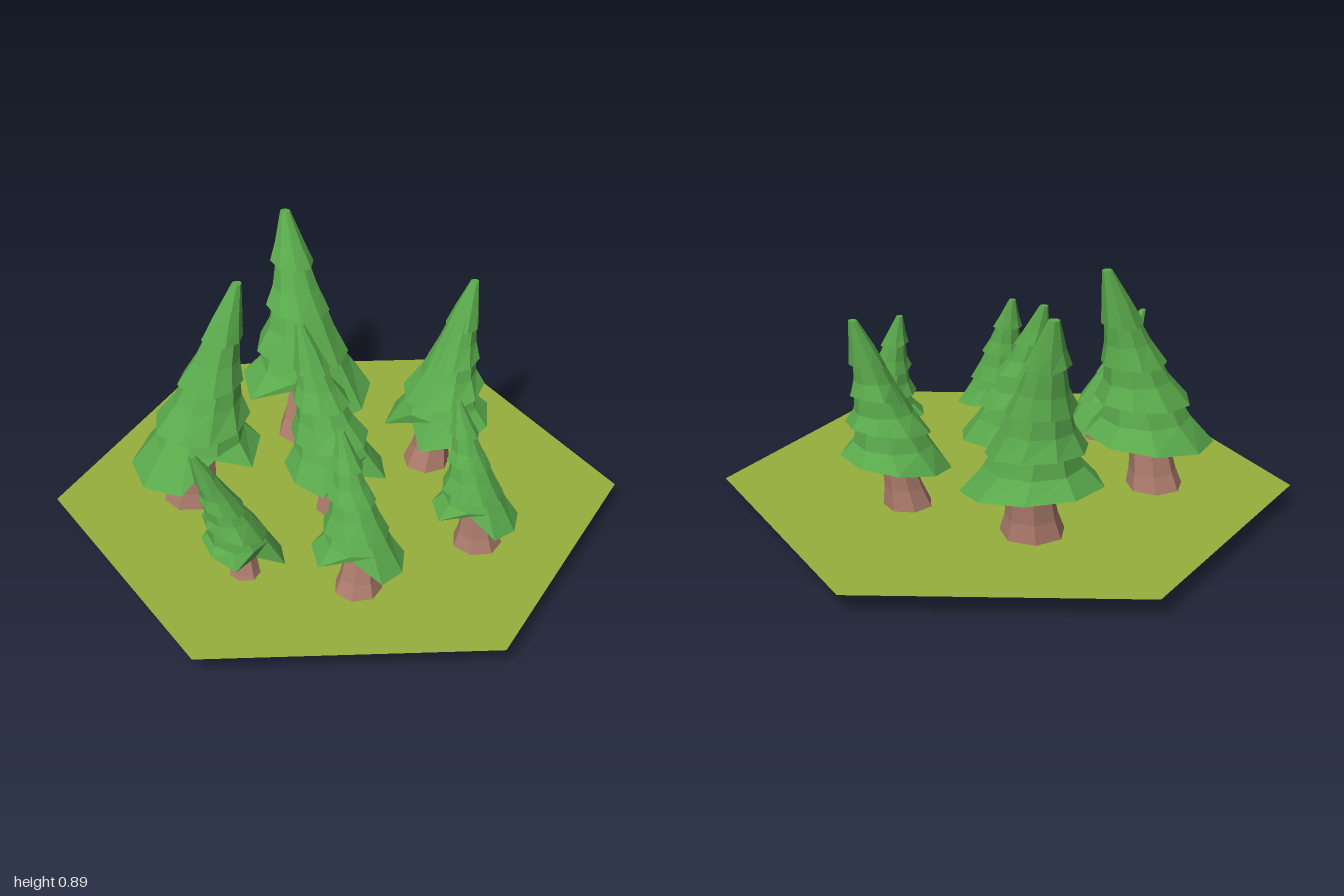
import * as THREE from 'three';

const leafGreen = new THREE.MeshStandardMaterial({ color: 0x5aaa4c, side: THREE.DoubleSide });
leafGreen.name = 'leafGreen';
const barkBrown = new THREE.MeshStandardMaterial({ color: 0xab7b6b, side: THREE.DoubleSide });
barkBrown.name = 'barkBrown';
const grassGreen = new THREE.MeshStandardMaterial({ color: 0x96b03c, side: THREE.DoubleSide });
grassGreen.name = 'grassGreen';

// Faceted skin over rings of points, listed from the bottom inside to the top
function loft(rings) {
  const out = [];
  const n = rings[0].length;
  for (let k = 0; k < rings.length - 1; k++) {
    for (let i = 0; i < n; i++) {
      const j = (i + 1) % n;
      const a = rings[k][i], b = rings[k][j], c = rings[k + 1][i], d = rings[k + 1][j];
      out.push(...a, ...c, ...b, ...b, ...c, ...d);
    }
  }
  const geo = new THREE.BufferGeometry();
  geo.setAttribute('position', new THREE.Float32BufferAttribute(out, 3));
  geo.computeVertexNormals();
  return geo;
}

function mesh(name, geo, material) {
  const m = new THREE.Mesh(geo, material);
  m.name = name;
  return m;
}

// Height and radius of each foliage tier, as shares of tree height and skirt radius
const TIERS = [
  { y0: 0.28, r0: 1.0, y1: 0.53, r1: 0.48 },
  { y0: 0.45, r0: 0.74, y1: 0.68, r1: 0.36 },
  { y0: 0.62, r0: 0.52, y1: 0.83, r1: 0.24 },
  { y0: 0.79, r0: 0.34, y1: 1.0, r1: 0.08 },
];

// Trunk profile: share of height, share of base radius
const TRUNK = [[0, 0], [0, 1], [0.03, 0.95], [0.15, 0.7], [0.27, 0.58], [0.42, 0.45], [0.42, 0]];

// base, skirt and tip are [x, z]; notch is the angle of the gap in the skirt
function createTree({ base, skirt, tip, y, top, rx, rz, trunk, notch, droop = 0.13 }, seed) {
  const tree = new THREE.Group();
  tree.name = 'tree' + (seed + 1);
  const H = top - y;
  const lean = Math.atan2(tip[1] - base[1], tip[0] - base[0]);
  const jitter = (i, t) => Math.sin(i * 12.9 + t * 7.7 + seed * 4.3);

  // Axis runs from trunk base through skirt centre to the leaning tip
  const axis = (t) => [0, 1].map((c) => (t < 0.28
    ? THREE.MathUtils.lerp(base[c], skirt[c], t / 0.28)
    : THREE.MathUtils.lerp(skirt[c], tip[c], Math.pow((t - 0.28) / 0.72, 1.15))));

  const trunkRings = TRUNK.map(([t, r]) => {
    const [cx, cz] = axis(t);
    return Array.from({ length: 7 }, (_, i) => {
      const a = notch + (i / 7) * Math.PI * 2;
      const s = trunk * r * (1 + 0.06 * jitter(i, 0));
      return [cx + Math.cos(a) * s, y + t * H, cz + Math.sin(a) * s];
    });
  });
  tree.add(mesh('trunk', loft(trunkRings), barkBrown));

  TIERS.forEach(({ y0, r0, y1, r1 }, k) => {
    const n = k === 3 ? 8 : 9;
    const h = y1 - y0;
    // underside hub, ragged hem, flare, top, closing point
    const levels = [
      [y0 + h * 0.45, 0, 0], [y0, r0, 1],
      [y0 + h * 0.4, r0 + (r1 - r0) * (k === 3 ? 0.42 : 0.55), 0.3],
      [y1, r1, 0], [y1, 0, 0],
    ];
    const rings = levels.map(([t, r, rag]) => {
      const [cx, cz] = axis(t);
      return Array.from({ length: n }, (_, i) => {
        const a = notch + k * 0.9 + ((i + 0.12 * rag * jitter(i, k)) / n) * Math.PI * 2;
        let s = r * (1 + 0.06 * rag * jitter(i + 3, k));
        let py = y + t * H + rag * H * 0.018 * jitter(i + 5, k);
        // gap in the lowest skirt
        if (k === 0 && i === 0 && rag === 1) { s *= 0.62; py += H * 0.07; }
        // hem hangs lower on the side away from the lean
        py += rag * droop * Math.cos(a - lean) * s * rx;
        return [cx + Math.cos(a) * s * rx, py, cz + Math.sin(a) * s * rz];
      });
    });
    tree.add(mesh('foliageTier' + (k + 1), loft(rings), leafGreen));
  });
  return tree;
}

const TREES = [
  { base: [-0.28, -0.28], skirt: [-0.295, -0.33], tip: [-0.445, -0.445], y: 0.01, top: 0.89, rx: 0.235, rz: 0.225, trunk: 0.125, notch: 1.4 },
  { base: [0.19, -0.32], skirt: [0.215, -0.355], tip: [0.288, -0.49], y: 0.035, top: 0.77, rx: 0.19, rz: 0.19, trunk: 0.1, notch: 2.06 },
  { base: [0.05, 0.07], skirt: [0.02, 0.06], tip: [-0.135, 0.02], y: 0.04, top: 0.75, rx: 0.19, rz: 0.175, trunk: 0.095, notch: 0.6 },
  { base: [0.555, 0.03], skirt: [0.55, 0.03], tip: [0.455, 0.01], y: 0.04, top: 0.61, rx: 0.148, rz: 0.142, trunk: 0.093, notch: 1.4 },
  { base: [-0.465, 0.26], skirt: [-0.43, 0.255], tip: [-0.337, 0.09], y: 0, top: 0.89, rx: 0.215, rz: 0.235, trunk: 0.122, notch: 0.6 },
  { base: [-0.06, 0.55], skirt: [-0.085, 0.525], tip: [-0.195, 0.635], y: 0.005, top: 0.57, rx: 0.145, rz: 0.145, trunk: 0.075, notch: 0.5, droop: 0.4 },
  { base: [0.305, 0.445], skirt: [0.3, 0.415], tip: [0.195, 0.355], y: 0.035, top: 0.62, rx: 0.16, rz: 0.145, trunk: 0.09, notch: 1.35 },
];

export function createModel() {
  const model = new THREE.Group();
  model.name = 'forestTile';

  // Flat hexagonal ground with corners on the z axis
  const ground = mesh('ground', new THREE.CircleGeometry(1, 6, Math.PI / 2), grassGreen);
  ground.rotation.x = -Math.PI / 2;
  ground.position.y = 0.075;
  model.add(ground);

  TREES.forEach((t, i) => model.add(createTree(t, i)));
  return model;
}
